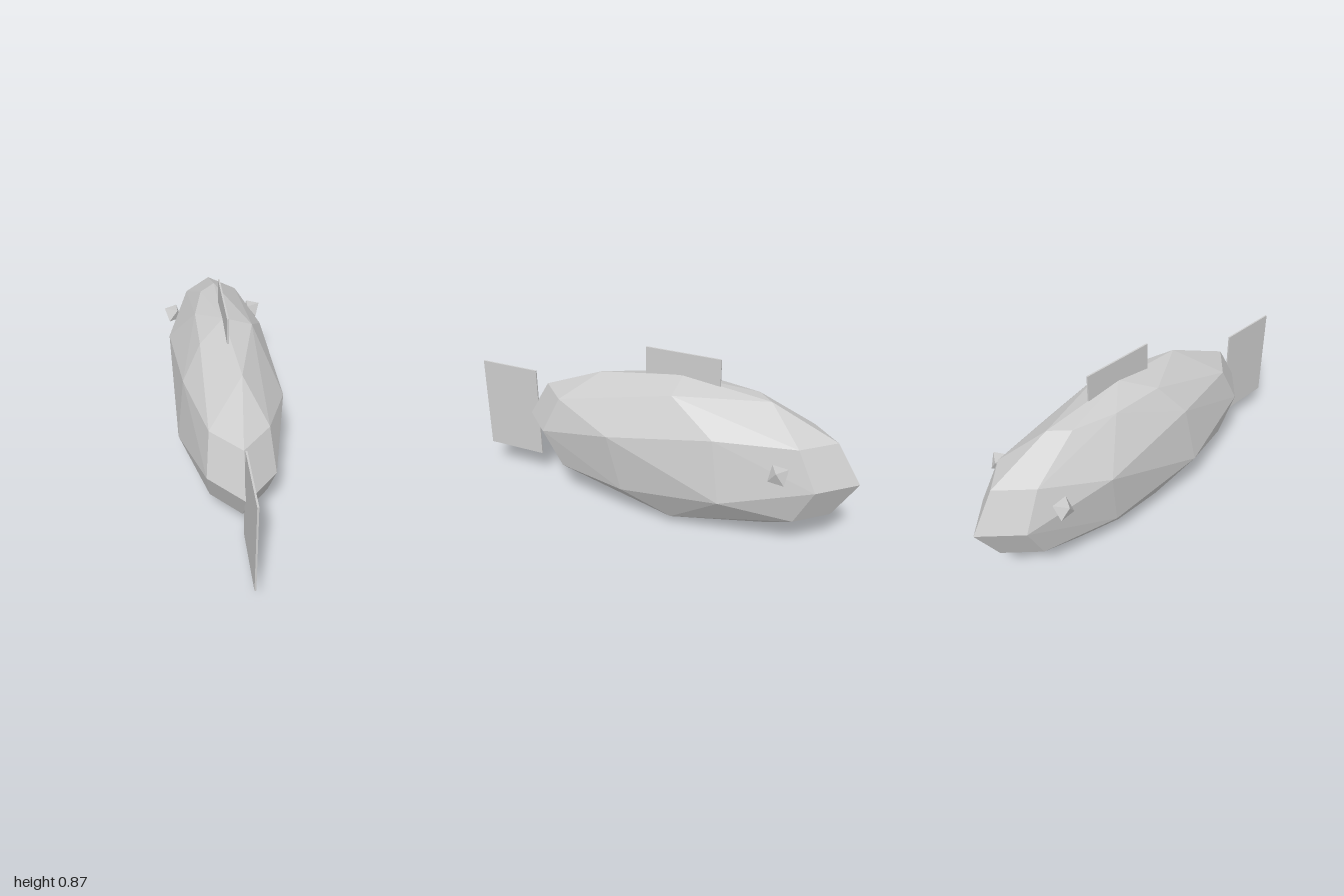
import * as THREE from 'three';
import { ConvexGeometry } from 'three/addons/geometries/ConvexGeometry.js';

const CENTRE = new THREE.Vector3(0, 0.379, -0.135);
const RADII = new THREE.Vector3(0.264, 0.378, 0.865);

// Point on the body ellipsoid: segment (36 degree steps from +z) and ring (30 degree steps of latitude)
function onBody(segment, ring) {
  const a = segment * Math.PI / 5, b = ring * Math.PI / 6;
  return new THREE.Vector3(Math.cos(b) * Math.sin(a), Math.sin(b), Math.cos(b) * Math.cos(a))
    .multiply(RADII).add(CENTRE);
}

export function createModel() {
  const model = new THREE.Group();
  const grey = new THREE.MeshStandardMaterial({ color: 0xcccccc, flatShading: true });
  grey.name = 'grey';

  function add(name, geometry, x = 0, y = 0, z = 0) {
    const mesh = new THREE.Mesh(geometry, grey);
    mesh.name = name;
    mesh.position.set(x, y, z);
    model.add(mesh);
    return mesh;
  }

  // Body: faceted ellipsoid with a few neighbouring points merged
  const points = [onBody(0, 3), onBody(0, -3)];
  for (const k of [0, 1, 4, 5, 6, 9]) {
    for (const ring of [-1, 0, 1]) points.push(onBody(k, ring));
  }
  for (const [k, ring] of [[3, 1], [2, -1], [8, 1], [7, -1], [8, 2], [7, 2], [8, -2], [7, -2],
    [6, 2], [5, 2], [5, -2], [6, -2], [0, -2]]) points.push(onBody(k, ring));
  for (const [x, y, z] of [[0.253, 0.488, 0.15], [0.253, 0.27, -0.415], [-0.252, 0.27, 0.14],
    [-0.252, 0.488, -0.42], [0.037, 0.713, 0.28], [0.14, 0.711, -0.135],
    [0.14, 0.049, -0.135]]) points.push(new THREE.Vector3(x, y, z));
  add('body', new ConvexGeometry(points));

  // Thin upright fins
  add('tailFin', new THREE.BoxGeometry(0.008, 0.486, 0.32), 0, 0.382, 0.84);
  add('dorsalFin', new THREE.BoxGeometry(0.008, 0.15, 0.375), 0, 0.792, -0.133);

  // Eyes near the nose
  for (const side of [-1, 1]) {
    const eye = add(side > 0 ? 'leftEye' : 'rightEye', new THREE.OctahedronGeometry(0.054),
      side * 0.218, 0.47, -0.678);
    eye.rotation.set(0.6, side * 0.4, side * 0.5);
  }
  return model;
}
